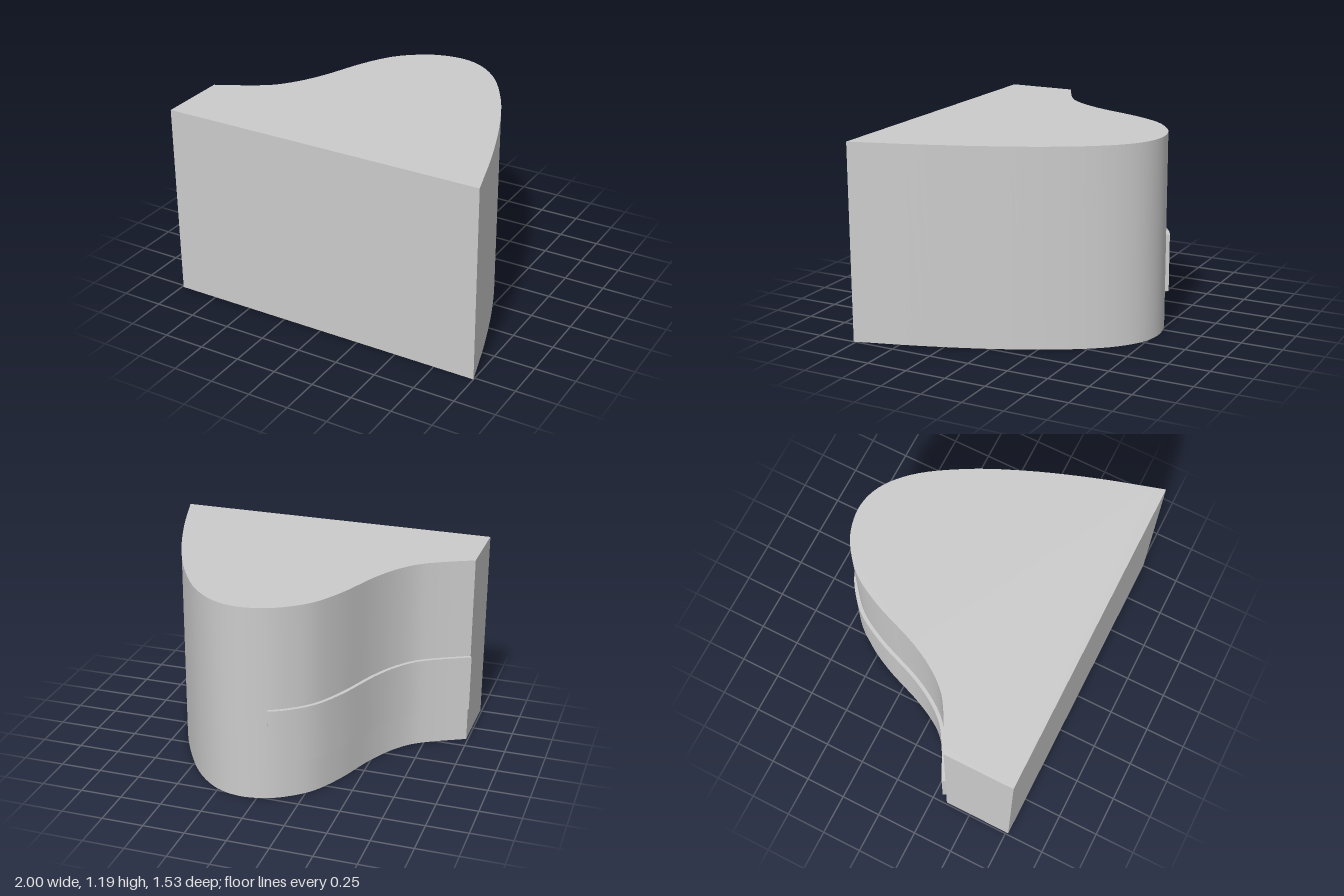
import * as THREE from 'three';
import { toCreasedNormals } from 'three/addons/utils/BufferGeometryUtils.js';

const HEIGHT = 1.19;
const BAND = { bottom: 0.22, height: 0.35, thickness: 0.022 };

// Plan outline as [x, z], from the left end round the back to the right tip
const PLAN = [
  [-0.99, 0.34], [-0.78, 0.23], [-0.677, 0.158], [-0.583, 0.043], [-0.5, -0.11],
  [-0.385, -0.4], [-0.285, -0.575], [-0.185, -0.67], [-0.065, -0.74],
  [0.1, -0.77], [0.25, -0.73], [0.41, -0.6], [0.59, -0.33], [0.74, -0.01],
  [0.88, 0.37], [1, 0.765],
];
const BAND_END = 8; // index of the plan point where the band stops
const STEPS = 6; // samples per plan segment

// Extrude a plan outline upwards, keeping curved walls smooth
function extrudeUp(points, height, name) {
  let geometry = new THREE.ExtrudeGeometry(new THREE.Shape(points), { depth: height, bevelEnabled: false });
  geometry.rotateX(-Math.PI / 2);
  geometry = toCreasedNormals(geometry, Math.PI / 7);
  const mesh = new THREE.Mesh(geometry, new THREE.MeshStandardMaterial({ color: 0xcccccc }));
  mesh.name = name;
  return mesh;
}

export function createModel() {
  const group = new THREE.Group();
  group.name = 'curvedBlock';

  const curve = new THREE.CatmullRomCurve3(PLAN.map(([x, z]) => new THREE.Vector3(x, -z, 0)));
  const count = (PLAN.length - 1) * STEPS;
  const back = [];
  const bandOuter = [];
  for (let i = 0; i <= count; i++) {
    const p = curve.getPoint(i / count);
    back.push(new THREE.Vector2(p.x, p.y));
    if (i <= BAND_END * STEPS) {
      const t = curve.getTangent(i / count);
      bandOuter.push(new THREE.Vector2(p.x - t.y * BAND.thickness, p.y + t.x * BAND.thickness));
    }
  }

  // Solid body with a flat front and left end
  const body = extrudeUp([...back, new THREE.Vector2(-0.99, -0.765)], HEIGHT, 'body');
  group.add(body);

  // Thin raised band following the concave side
  const bandInner = back.slice(0, BAND_END * STEPS + 1).reverse();
  const band = extrudeUp([...bandOuter, ...bandInner], BAND.height, 'sideBand');
  band.position.y = BAND.bottom;
  group.add(band);

  return group;
}
